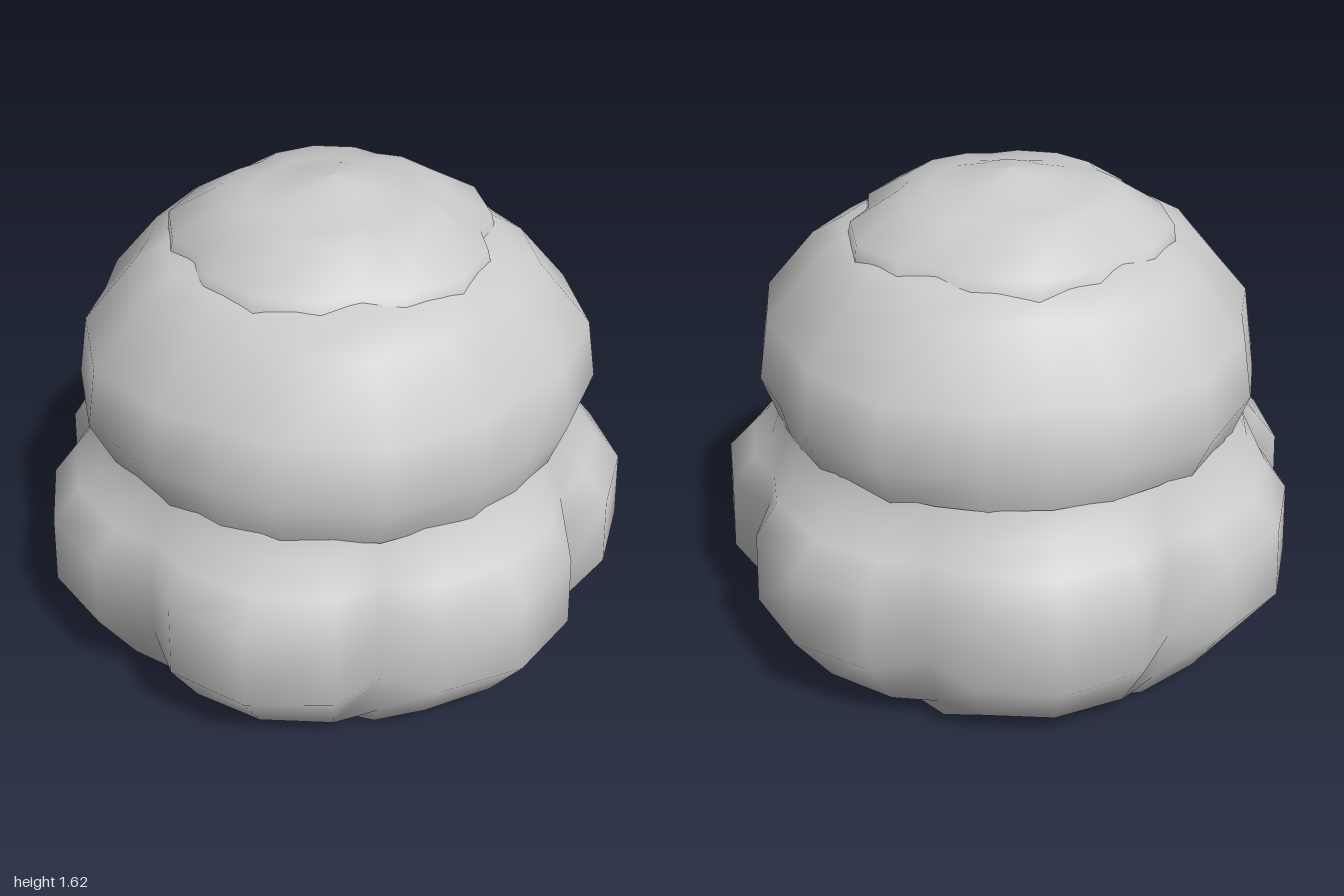
import * as THREE from 'three';

const material = new THREE.MeshStandardMaterial({ color: 0xcccccc, side: THREE.DoubleSide });

// Scalloped shell lofted upward; each row is [y, valley radius, shoulder radius, peak radius].
// One lobe spans four columns: valley, shoulder, peak, shoulder. start is the angle of a peak.
function scallopedShell(name, lobes, start, offsetZ, rows) {
  const columns = lobes * 4;
  const half = Math.PI / lobes;
  const steps = [-half, -half * 0.61, 0, half * 0.61];
  const positions = [];
  const indices = [];
  rows.forEach(([y, valley, shoulder, peak], row) => {
    const radii = [valley, shoulder, peak, shoulder];
    for (let c = 0; c < columns; c++) {
      const angle = start + Math.floor(c / 4) * half * 2 + steps[c % 4];
      const r = radii[c % 4];
      positions.push(Math.sin(angle) * r, y, Math.cos(angle) * r + offsetZ);
      if (row === 0) continue;
      const next = (c + 1) % columns;
      const below = (row - 1) * columns;
      const here = row * columns;
      indices.push(below + c, below + next, here + next, below + c, here + next, here + c);
    }
  });
  const geometry = new THREE.BufferGeometry();
  geometry.setAttribute('position', new THREE.Float32BufferAttribute(positions, 3));
  geometry.setIndex(indices);
  geometry.computeVertexNormals();
  const mesh = new THREE.Mesh(geometry, material);
  mesh.name = name;
  return mesh;
}

export function createModel() {
  const bush = new THREE.Group();
  bush.name = 'bush';

  // Wide lower tier: seven lobes rising from an open seven-sided foot
  bush.add(scallopedShell('lowerFoliage', 7, Math.PI, 0.025, [
    [0, 0.77, 0.72, 0.695],
    [0.1, 0.82, 0.86, 0.88],
    [0.31, 0.88, 0.985, 1.02],
    [0.56, 0.87, 0.97, 1.005],
    [0.66, 0.845, 0.89, 0.91],
    [0.74, 0.815, 0.825, 0.83],
    [0.83, 0.79, 0.79, 0.79],
  ]));

  // Rounded middle tier: five shallow lobes, one facing the front
  bush.add(scallopedShell('middleFoliage', 5, 0, 0.035, [
    [0.8, 0.785, 0.79, 0.8],
    [0.96, 0.825, 0.845, 0.87],
    [1.16, 0.775, 0.81, 0.835],
    [1.36, 0.61, 0.64, 0.665],
    [1.42, 0.52, 0.54, 0.56],
    [1.45, 0.42, 0.42, 0.42],
  ]));

  // Small upper tier, its lobes set between those below, closing in a low crown
  bush.add(scallopedShell('upperFoliage', 5, Math.PI, 0.025, [
    [1.38, 0.51, 0.535, 0.545],
    [1.46, 0.47, 0.515, 0.535],
    [1.56, 0.33, 0.355, 0.365],
    [1.565, 0.26, 0.26, 0.26],
    [1.605, 0.13, 0.13, 0.13],
    [1.625, 0, 0, 0],
  ]));

  return bush;
}
